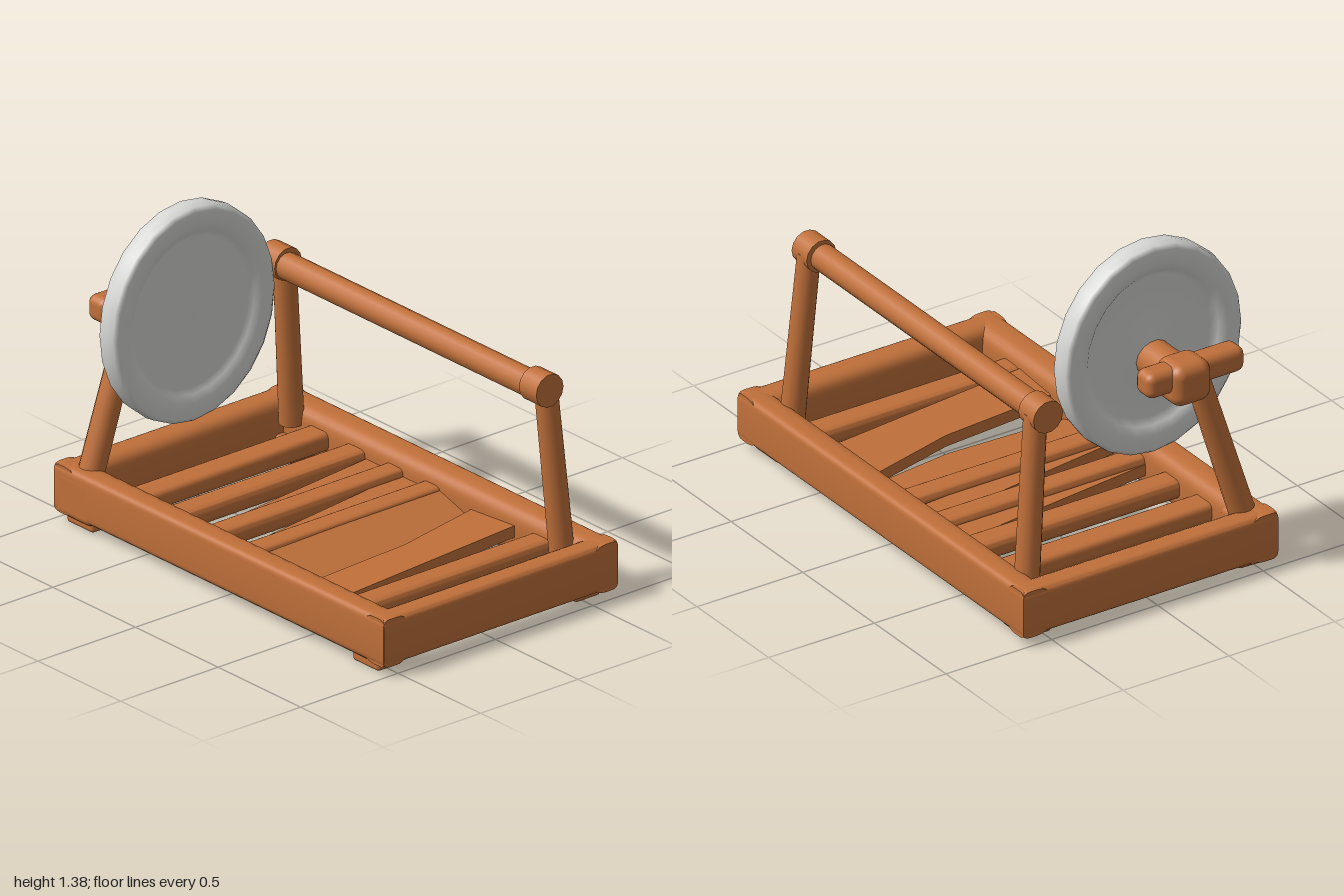
import * as THREE from 'three';
import { toCreasedNormals } from 'three/addons/utils/BufferGeometryUtils.js';
import { RoundedBoxGeometry } from 'three/addons/geometries/RoundedBoxGeometry.js';

const wood = new THREE.MeshStandardMaterial({ color: 0xc0703a });
wood.name = 'orange wood';
const stone = new THREE.MeshStandardMaterial({ color: 0xd6d6d4 });
stone.name = 'pale grey';

export function createModel() {
  const group = new THREE.Group();

  function add(name, geometry, material, x = 0, y = 0, z = 0) {
    const mesh = new THREE.Mesh(geometry, material);
    mesh.name = name;
    mesh.position.set(x, y, z);
    group.add(mesh);
  }

  // Round bar between two points
  function rod(name, from, to, r0, r1 = r0) {
    const a = new THREE.Vector3(...from), b = new THREE.Vector3(...to);
    const dir = b.clone().sub(a);
    const mesh = new THREE.Mesh(new THREE.CylinderGeometry(r1, r0, dir.length(), 14), wood);
    mesh.name = name;
    mesh.position.copy(a).add(b).multiplyScalar(0.5);
    mesh.quaternion.setFromUnitVectors(new THREE.Vector3(0, 1, 0), dir.normalize());
    group.add(mesh);
  }

  // Beam along z with rounded long edges and flat ends; ri rounds the -x side
  function beam(width, height, length, r, ri = r) {
    const w = width / 2, h = height / 2;
    const s = new THREE.Shape();
    s.moveTo(-w + ri, -h);
    s.lineTo(w - r, -h);
    s.quadraticCurveTo(w, -h, w, -h + r);
    s.lineTo(w, h - r);
    s.quadraticCurveTo(w, h, w - r, h);
    s.lineTo(-w + ri, h);
    s.quadraticCurveTo(-w, h, -w, h - ri);
    s.lineTo(-w, -h + ri);
    s.quadraticCurveTo(-w, -h, -w + ri, -h);
    const g = new THREE.ExtrudeGeometry(s, { depth: length, bevelEnabled: false, curveSegments: 5 });
    g.translate(0, 0, -length / 2);
    return toCreasedNormals(g, 0.7);
  }

  // Base frame, rounder on its inner side
  add('frontRail', beam(0.13, 0.205, 1.996, 0.03, 0.065).rotateY(-Math.PI / 2), wood, 0, 0.1425, 0.508);
  add('backRail', beam(0.13, 0.205, 1.996, 0.03, 0.065).rotateY(Math.PI / 2), wood, 0, 0.1425, -0.567);
  for (const side of [-1, 1]) {
    const rail = beam(0.125, 0.203, 1.2, 0.03, 0.06).rotateY(side < 0 ? Math.PI : 0);
    add('sideRail', rail, wood, side * 0.937, 0.1425, -0.03);
    // Feet
    for (const z of [0.49, -0.525]) {
      add('foot', new RoundedBoxGeometry(0.16, 0.1, 0.13, 2, 0.015), wood, side * 0.865, 0.053, z);
    }
    // Rear posts and their joints with the top bar
    rod('rearPost', [side * 0.818, 0.17, -0.495], [side * 0.79, 0.9, -0.435], 0.052, 0.048);
    add('barJoint', new THREE.CylinderGeometry(0.07, 0.07, 0.105, 14).rotateZ(Math.PI / 2),
      wood, side * 0.792, 0.897, -0.411);
  }
  rod('topBar', [-0.8, 0.893, -0.405], [0.8, 0.893, -0.405], 0.056);

  // Straight slats
  for (const [x, w] of [[-0.665, 0.125], [-0.44, 0.12], [-0.205, 0.11], [0.02, 0.11], [0.68, 0.12]]) {
    add('slat', beam(w, 0.08, 1.02, 0.03), wood, x, 0.15, -0.03);
  }

  // Splayed slats: outline of [x, z] corners seen from above, with a sideways slope
  const outline = (corners) => new THREE.Shape(corners.map(([x, z]) => new THREE.Vector2(x, -z)));
  function splayedSlat(corners, y, thickness, slope = 0) {
    const g = new THREE.ExtrudeGeometry(outline(corners), { depth: thickness, bevelEnabled: false });
    g.rotateX(-Math.PI / 2);
    const p = g.attributes.position;
    for (let i = 0; i < p.count; i++) p.setY(i, p.getY(i) + slope * (p.getX(i) - corners[0][0]));
    g.computeVertexNormals();
    add('splayedSlat', g, wood, 0, y, 0);
  }
  splayedSlat([[0.06, -0.54], [0.25, -0.54], [0.35, -0.08], [0.31, 0.45], [0.08, 0.45]], 0.14, 0.04, -0.3);
  splayedSlat([[0.25, -0.54], [0.52, -0.54], [0.62, 0.45], [0.4, 0.45], [0.36, -0.08]], 0.11, 0.05, 0.08);
  splayedSlat([[-0.38, -0.54], [-0.24, -0.54], [-0.18, 0.45], [-0.26, 0.45]], 0.11, 0.05);
  splayedSlat([[-0.18, -0.54], [-0.05, -0.54], [0.02, 0.45], [-0.04, 0.45]], 0.11, 0.05);

  // Sheet under the slats, facing down and leaning towards the back
  const sheet = new THREE.ShapeGeometry(outline([[0.72, -0.3], [0.58, 0.3], [-0.15, 0.44], [-0.4, -0.27]]));
  sheet.rotateX(-Math.PI / 2).rotateX(0.12);
  sheet.index.array.reverse();
  sheet.computeVertexNormals();
  add('underSheet', sheet, wood, 0, 0.09, 0);

  // Leaning front post carrying the wheel hub
  rod('frontPost', [-0.878, 0.15, 0.505], [-0.865, 0.9, 0.27], 0.055, 0.05);
  add('postSocket', new RoundedBoxGeometry(0.22, 0.19, 0.135, 3, 0.03), wood, -0.888, 0.125, 0.506);

  // Hub block, cross handle and axle
  add('hub', new RoundedBoxGeometry(0.17, 0.18, 0.18, 4, 0.05), wood, -0.865, 0.89, 0.215);
  add('crossHandle', new RoundedBoxGeometry(0.11, 0.11, 0.46, 3, 0.035), wood, -0.86, 0.915, 0.25);
  rod('axle', [-0.8, 0.875, 0.225], [-0.61, 0.875, 0.225], 0.08);

  // Wheel with a rounded rim and a sunken web on both faces
  const profile = [
    [0, -0.035], [0.25, -0.02], [0.68, -0.012], [0.74, -0.035], [0.82, -0.05], [0.95, -0.05], [0.99, -0.038],
    [1, 0], [0.99, 0.038], [0.95, 0.05], [0.82, 0.048], [0.75, 0.035], [0.7, 0.022], [0, 0.03],
  ].map(([r, y]) => new THREE.Vector2(r, y));
  const wheel = new THREE.LatheGeometry(profile, 24);
  wheel.scale(0.462, 1.05, 0.42);
  wheel.rotateZ(-Math.PI / 2);
  add('wheel', wheel, stone, -0.613, 0.923, 0.215);

  return group;
}
